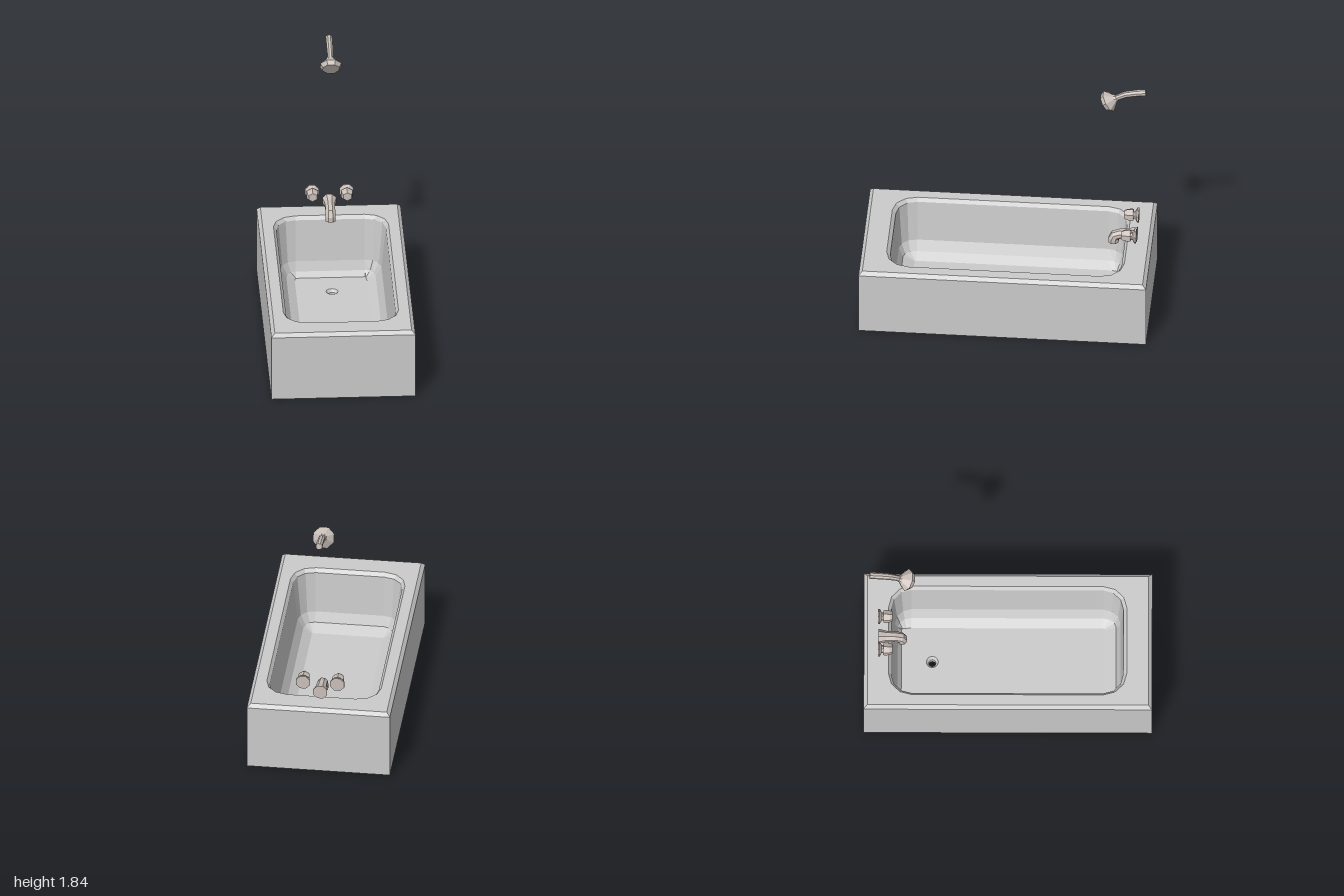
import * as THREE from 'three';

const enamel = new THREE.MeshStandardMaterial({ color: 0xcccccc, flatShading: true });
const metal = new THREE.MeshStandardMaterial({ color: 0xcbc0ba, flatShading: true });

// Skin a list of closed rings (equal point counts), optionally capping both ends.
function loft(name, rings, material, capped) {
  const pos = [];
  const tri = (...pts) => pts.forEach((p) => pos.push(p.x, p.y, p.z));
  const n = rings[0].length;
  for (let i = 0; i < rings.length - 1; i++) {
    for (let j = 0; j < n; j++) {
      const k = (j + 1) % n;
      const a = rings[i][j], b = rings[i][k], c = rings[i + 1][k], d = rings[i + 1][j];
      if (a.distanceTo(b) > 1e-5) tri(a, b, d);
      if (c.distanceTo(d) > 1e-5) tri(b, c, d);
    }
  }
  if (capped) {
    const first = rings[0], last = rings[rings.length - 1];
    for (let j = 1; j < n - 1; j++) {
      tri(first[0], first[j + 1], first[j]);
      tri(last[0], last[j], last[j + 1]);
    }
  }
  const geo = new THREE.BufferGeometry();
  geo.setAttribute('position', new THREE.Float32BufferAttribute(pos, 3));
  geo.computeVertexNormals();
  const mesh = new THREE.Mesh(geo, material);
  mesh.name = name;
  return mesh;
}

// Horizontal rounded rectangle: half width, back z, front z, height, corner centres.
function rect(w, zBack, zFront, y, cx = w, cBack = zBack, cFront = zFront) {
  const pts = [];
  for (let q = 0; q < 4; q++) {
    const sx = q === 0 || q === 3 ? 1 : -1;
    const cz = q < 2 ? cFront : cBack;
    const rz = q < 2 ? zFront - cFront : cBack - zBack;
    for (let s = 0; s <= 3; s++) {
      const a = (q + s / 3) * Math.PI / 2;
      pts.push(new THREE.Vector3(sx * cx + (w - cx) * Math.cos(a), y, cz + rz * Math.sin(a)));
    }
  }
  return pts;
}

// Turned or bent fitting: sections are [z, y, radius, downward tilt].
function fitting(name, sides, sections) {
  const rings = sections.map(([z, y, r, tilt = 0]) => Array.from({ length: sides }, (_, j) => {
    const a = (j + 0.5) / sides * Math.PI * 2;
    const up = r * Math.sin(a);
    return new THREE.Vector3(r * Math.cos(a), y + up * Math.cos(tilt), z + up * Math.sin(tilt));
  }));
  return loft(name, rings, metal, true);
}

export function createModel() {
  const model = new THREE.Group();

  // Tub: one closed skin over the rim, down the outside, up the drain and up the basin
  const basin = (w, b, f, y) => rect(w, b, f, y, 0.24, -0.67, 0.66);
  const drain = (r, y) => rect(r, -0.525 - r, -0.525 + r, y, 0, -0.525, -0.525);
  model.add(loft('bathtub', [
    basin(0.40, -0.83, 0.825, 0.5),
    rect(0.475, -0.975, 0.975, 0.5),
    rect(0.5, -1, 1, 0.475),
    rect(0.5, -1, 1, 0),
    drain(0.025, 0),
    drain(0.025, 0.04),
    drain(0.042, 0.06),
    basin(0.25, -0.74, 0.67, 0.06),
    basin(0.31, -0.765, 0.75, 0.10),
    basin(0.35, -0.785, 0.78, 0.17),
    basin(0.38, -0.81, 0.80, 0.475),
    basin(0.40, -0.83, 0.825, 0.5),
  ], enamel, false));

  // Spout, bending down over the basin
  model.add(fitting('spout', 8, [
    [-0.9, 0.579, 0.053],
    [-0.845, 0.579, 0.039],
    [-0.785, 0.576, 0.036, 0.1],
    [-0.745, 0.561, 0.037, 0.7],
    [-0.735, 0.535, 0.038, 1.35],
    [-0.735, 0.507, 0.038, Math.PI / 2],
  ]));

  // Taps: wall flange, neck and six-sided handle
  for (const side of [1, -1]) {
    const tap = new THREE.Group();
    tap.name = side > 0 ? 'leftTap' : 'rightTap';
    tap.add(fitting('tapFlange', 8, [
      [-0.903, 0, 0.053], [-0.89, 0, 0.053], [-0.876, 0, 0.028], [-0.855, 0, 0.026],
    ]));
    tap.add(fitting('tapHandle', 6, [
      [-0.865, 0, 0.042], [-0.855, 0, 0.047], [-0.82, 0, 0.042], [-0.8, 0, 0.032],
    ]));
    tap.position.set(side * 0.12, 0.653, 0);
    model.add(tap);
  }

  // Shower arm and head
  const shower = new THREE.Group();
  shower.name = 'shower';
  shower.add(fitting('showerArm', 8, [
    [-0.96, 1.813, 0.024, 0.1],
    [-0.9, 1.806, 0.024, 0.15],
    [-0.82, 1.789, 0.023, 0.3],
    [-0.78, 1.769, 0.021, 0.45],
    [-0.74, 1.747, 0.021, 0.56],
  ]));
  shower.add(fitting('showerHead', 8, [
    [-0.758, 1.757, 0.024, 0.56],
    [-0.745, 1.75, 0.03, 0.56],
    [-0.702, 1.725, 0.079, 0.56],
    [-0.675, 1.71, 0.062, 0.56],
  ]));
  model.add(shower);

  return model;
}
